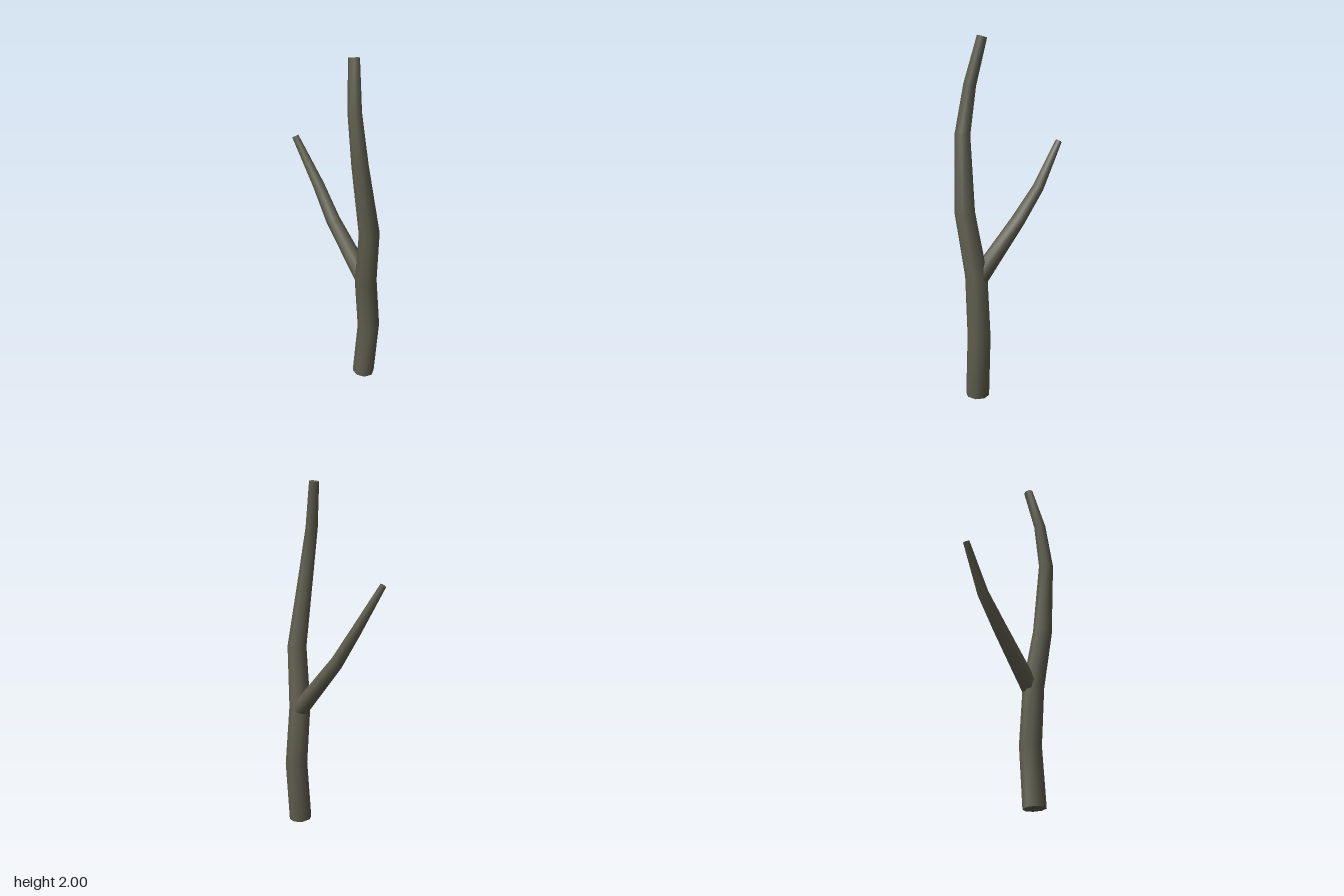
import * as THREE from 'three';

const SIDES = 8;

// Tapered limb through stations [x, y, z, radius], with flat, sharp-edged end caps
function limbGeometry(stations) {
  const centres = stations.map(([x, y, z]) => new THREE.Vector3(x, y, z));
  const last = stations.length - 1;
  const positions = [], index = [];

  const rings = centres.map((c, i) => {
    const before = i > 0 ? c.clone().sub(centres[i - 1]).normalize() : new THREE.Vector3();
    const after = i < last ? centres[i + 1].clone().sub(c).normalize() : new THREE.Vector3();
    const t = before.add(after).normalize();
    const v = new THREE.Vector3(0, 0, 1).addScaledVector(t, -t.z).normalize();
    const u = t.clone().cross(v);
    return Array.from({ length: SIDES }, (_, j) => {
      const a = (j / SIDES) * Math.PI * 2;
      return c.clone()
        .addScaledVector(u, Math.cos(a) * stations[i][3])
        .addScaledVector(v, Math.sin(a) * stations[i][3]);
    });
  });

  // Bark
  rings.forEach((ring) => ring.forEach((p) => positions.push(p.x, p.y, p.z)));
  for (let i = 0; i < last; i++) {
    for (let j = 0; j < SIDES; j++) {
      const k = (j + 1) % SIDES;
      const a = i * SIDES + j, b = i * SIDES + k;
      index.push(a, a + SIDES, b, b, a + SIDES, b + SIDES);
    }
  }

  // Cut ends
  for (const end of [0, last]) {
    const start = positions.length / 3;
    rings[end].forEach((p) => positions.push(p.x, p.y, p.z));
    for (let j = 1; j < SIDES - 1; j++) {
      if (end === 0) index.push(start, start + j, start + j + 1);
      else index.push(start, start + j + 1, start + j);
    }
  }

  const geometry = new THREE.BufferGeometry();
  geometry.setAttribute('position', new THREE.Float32BufferAttribute(positions, 3));
  geometry.setIndex(index);
  geometry.computeVertexNormals();
  return geometry;
}

export function createModel() {
  const bark = new THREE.MeshStandardMaterial({ color: 0x5e5d4d });
  bark.name = 'bark';

  const limbs = {
    mainStem: [
      [0.235, 0.01, -0.026, 0.066],
      [0.242, 0.36, -0.054, 0.065],
      [0.236, 0.70, -0.022, 0.063],
      [0.281, 1.05, 0.018, 0.057],
      [0.253, 1.472, 0.077, 0.044],
      [0.207, 1.74, 0.070, 0.036],
      [0.157, 1.996, 0.022, 0.029],
    ],
    sideBranch: [
      [0.227, 0.685, -0.033, 0.053],
      [-0.035, 0.985, -0.048, 0.041],
      [-0.165, 1.165, -0.067, 0.033],
      [-0.328, 1.425, -0.055, 0.019],
    ],
  };

  const group = new THREE.Group();
  group.name = 'forkedBranch';
  for (const [name, stations] of Object.entries(limbs)) {
    const mesh = new THREE.Mesh(limbGeometry(stations), bark);
    mesh.name = name;
    group.add(mesh);
  }
  return group;
}
